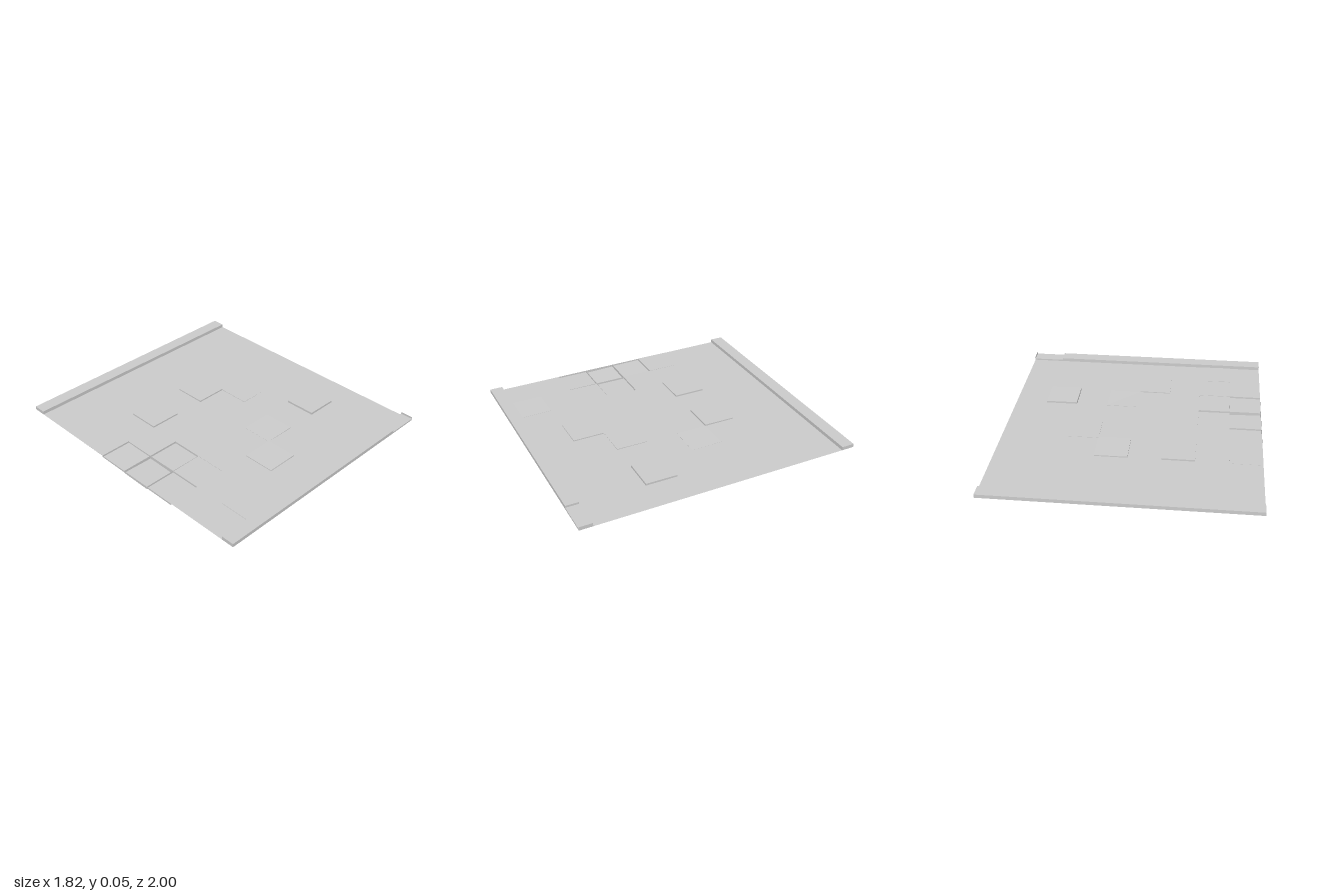
import * as THREE from 'three';

const N = 8, HALF = 0.908, T = (2 * HALF) / N;
const FLOOR = 0.026, TOP = 0.051, LOW = 0.037;

// Uneven tiles: [column, row, corner heights: back -x, back +x, front +x, front -x]
const UNEVEN = [
  [2, 2, 0.037, 0.037, 0.037, 0.037],
  [4, 2, 0.034, 0.033, 0.036, 0.036],
  [5, 3, 0.029, 0.027, 0.026, 0.029],
  [6, 5, 0.040, 0.038, 0.040, 0.042],
  [4, 5, 0.027, 0.029, 0.031, 0.027],
  [3, 6, 0.031, 0.033, 0.033, 0.031],
  [1, 7, 0.029, 0.027, 0.027, 0.029],
  [0, 2, 0.027, 0.027, 0.028, 0.028],
  [0, 3, 0.016, 0.016, 0.014, 0.014],
  [0, 4, 0.010, 0.004, 0.000, 0.006],
  [1, 4, 0.013, 0.012, 0.012, 0.013],
  [0, 5, 0.014, 0.014, 0.014, 0.014],
  [1, 5, 0.022, 0.024, 0.024, 0.023],
];

const material = new THREE.MeshStandardMaterial({
  color: 0xcccccc, side: THREE.DoubleSide, flatShading: true,
});

// Mesh from four-cornered panels, corners counter-clockwise
function panels(name, quads) {
  const pos = [];
  for (const [a, b, c, d] of quads) pos.push(...a, ...b, ...c, ...a, ...c, ...d);
  const g = new THREE.BufferGeometry();
  g.setAttribute('position', new THREE.Float32BufferAttribute(pos, 3));
  g.computeVertexNormals();
  const mesh = new THREE.Mesh(g, material);
  mesh.name = name;
  return mesh;
}

// Tile top with side walls joining it to the floor level
function unevenTile(i, j, heights) {
  const x0 = -HALF + i * T, z0 = -HALF + j * T;
  const xz = [[x0, z0], [x0 + T, z0], [x0 + T, z0 + T], [x0, z0 + T]];
  const top = xz.map(([x, z], k) => [x, heights[k], z]);
  const base = xz.map(([x, z]) => [x, FLOOR, z]);
  const quads = [[top[3], top[2], top[1], top[0]]];
  for (let k = 0; k < 4; k++) {
    const n = (k + 1) % 4;
    quads.push([top[k], top[n], base[n], base[k]]);
  }
  return panels('unevenTile', quads);
}

// Hollow kerb, open underneath
function kerb(name, x0, x1, z0, z1, top, endTop = top) {
  const p = (x, y, z) => [x, y, z];
  return panels(name, [
    [p(x0, top, z1), p(x1, top, z1), p(x1, top, z0), p(x0, top, z0)],
    [p(x0, FLOOR, z1), p(x1, FLOOR, z1), p(x1, top, z1), p(x0, top, z1)],
    [p(x1, FLOOR, z0), p(x0, FLOOR, z0), p(x0, top, z0), p(x1, top, z0)],
    [p(x0, FLOOR, z0), p(x0, FLOOR, z1), p(x0, top, z1), p(x0, top, z0)],
    [p(x1, FLOOR, z1), p(x1, FLOOR, z0), p(x1, endTop, z0), p(x1, endTop, z1)],
  ]);
}

export function createModel() {
  const group = new THREE.Group();
  group.name = 'tiledFloor';

  // Flat floor tiles
  const uneven = new Set(UNEVEN.map(([i, j]) => i + N * j));
  const flat = [];
  for (let j = 0; j < N; j++) {
    for (let i = 0; i < N; i++) {
      if (uneven.has(i + N * j)) continue;
      const x = -HALF + i * T, z = -HALF + j * T;
      flat.push([[x, FLOOR, z + T], [x + T, FLOOR, z + T], [x + T, FLOOR, z], [x, FLOOR, z]]);
    }
  }
  group.add(panels('floor', flat));

  // Raised, sunken and tilted tiles
  for (const [i, j, ...heights] of UNEVEN) group.add(unevenTile(i, j, heights));

  // Kerbs along the back and front, with one low section at the front
  group.add(kerb('backKerb', -HALF, HALF, -1, -HALF, TOP));
  group.add(kerb('frontKerb', -HALF, HALF - T, HALF, 1, TOP));
  group.add(kerb('lowKerb', HALF - T, HALF, HALF, 1, LOW, TOP));
  return group;
}
